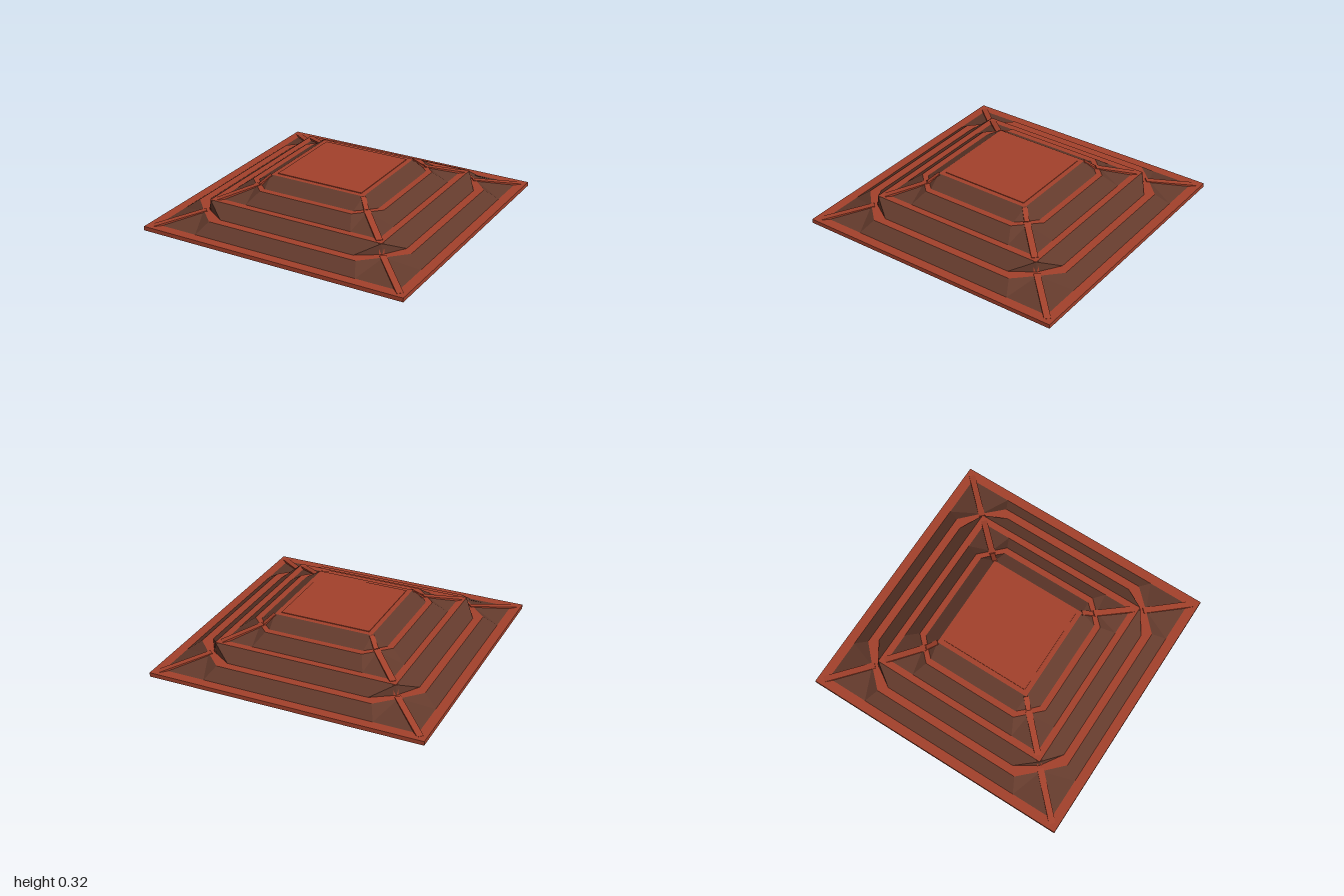
import * as THREE from 'three';
import { mergeGeometries } from 'three/addons/utils/BufferGeometryUtils.js';

const mat = (name, color) => {
  const m = new THREE.MeshStandardMaterial({ color });
  m.name = name;
  return m;
};

// Ring of 12 points: half width h, end of the straight edge s, corner point c
const square = (h, s, y) => ({ h, s, c: h, y });
const octagon = (h, s, c, y) => ({ h, s, c, y });
const grow = (r, d, y) => ({ h: r.h + d, s: r.s + d, c: r.c + d, y });

function ringPoints(r) {
  const pts = [];
  for (let q = 0; q < 4; q++) {
    const a = q * Math.PI / 2, cos = Math.round(Math.cos(a)), sin = Math.round(Math.sin(a));
    for (const [x, z] of [[r.h, r.s], [r.c, r.c], [r.s, r.h]]) {
      pts.push([x * cos - z * sin, r.y, x * sin + z * cos]);
    }
  }
  return pts;
}

// Faceted skin through a list of rings; listed upward it faces out, downward it faces in.
// The corner quads are split symmetrically about the diagonal.
function loft(...rings) {
  const pos = [];
  for (let k = 0; k < rings.length - 1; k++) {
    const a = ringPoints(rings[k]), b = ringPoints(rings[k + 1]);
    for (let i = 0; i < 12; i++) {
      const j = (i + 1) % 12;
      if (i % 3 === 1) pos.push(...a[i], ...b[i], ...a[j], ...b[i], ...b[j], ...a[j]);
      else pos.push(...a[i], ...b[i], ...b[j], ...a[i], ...b[j], ...a[j]);
    }
  }
  const g = new THREE.BufferGeometry();
  g.setAttribute('position', new THREE.Float32BufferAttribute(pos, 3));
  g.computeVertexNormals();
  return g;
}

// Rectangular frame that follows a ring
const frame = (r, d0, d1, y0, y1) =>
  loft(grow(r, d1, y0), grow(r, d1, y1), grow(r, d0, y1), grow(r, d0, y0), grow(r, d1, y0));

// Straight bar between two points
function bar(a, b, width, height) {
  const o = new THREE.Object3D();
  o.position.copy(a).lerp(b, 0.5);
  o.lookAt(b);
  o.updateMatrix();
  return new THREE.BoxGeometry(width, height, a.distanceTo(b)).applyMatrix4(o.matrix);
}

const fourTimes = (list) => mergeGeometries([0, 1, 2, 3].flatMap((q) =>
  list.map((g) => g.clone().rotateY(q * Math.PI / 2))));

// Point on the +x side of a ring, u from -1 (corner) to 1 (corner)
function edgePoint(r, u, drop) {
  const k = 0.7, t = Math.abs(u), f = Math.max(0, (t - k) / (1 - k));
  const z = t < k ? r.s * t / k : r.s + (r.c - r.s) * f;
  return new THREE.Vector3(r.h + (r.c - r.h) * f, r.y - drop, z * Math.sign(u));
}

export function createModel() {
  const model = new THREE.Group();
  model.name = 'steppedRoof';
  const red = mat('red trim', 0xa3412b);
  const brown = mat('brown roof', 0x633a2c);
  const grey = mat('grey beams', 0xa2a397);
  const dark = mat('dark boarding', 0x4a302a);
  const rust = mat('rust rafters', 0x984030);
  const teal = mat('teal battens', 0x4f8c80);
  const gold = mat('gold trim', 0xd08a45);
  const black = mat('black ornament', 0x1e1f22);
  const plate = mat('ceiling panel', 0xb4a68c);
  const bronze = mat('bronze medallion', 0xb8945c);

  const add = (name, geometry, material) => {
    const mesh = new THREE.Mesh(geometry, material);
    mesh.name = name;
    model.add(mesh);
    return mesh;
  };

  // Outer skin: slopes alternate with flat ledges
  const eave = square(0.93, 0.62, 0.03);
  const ledge1 = [octagon(0.835, 0.57, 0.705, 0.1), octagon(0.775, 0.52, 0.675, 0.1)];
  const ledge2 = [square(0.67, 0.62, 0.175), square(0.62, 0.41, 0.175)];
  const ledge3 = [octagon(0.52, 0.36, 0.44, 0.25), octagon(0.475, 0.35, 0.415, 0.25)];
  const crown = square(0.365, 0.3, 0.315);
  add('eaveRim', loft(square(1, 0.62, 0), square(1, 0.62, 0.03), eave), red);
  [[eave, ledge1[0]], [ledge1[1], ledge2[0]], [ledge2[1], ledge3[0]], [ledge3[1], crown]]
    .forEach((pair, i) => add('roofSlope' + (i + 1), loft(...pair), brown));
  [ledge1, ledge2, ledge3].forEach((pair, i) => add('ledge' + (i + 1), loft(...pair), red));
  const lip = square(0.33, 0.3, 0.315);
  add('crownTop', loft(crown, lip, { ...lip, y: 0.32 }, square(0, 0, 0.32)), red);

  // Hip ridges and corner posts on the four diagonals
  const diag = (d, y) => new THREE.Vector3(d, y, d);
  add('hipRidges', fourTimes([
    bar(diag(0.955, 0.022), diag(0.69, 0.097), 0.045, 0.02),
    bar(diag(0.635, 0.169), diag(0.425, 0.247), 0.045, 0.02),
    bar(diag(0.42, 0.25), diag(0.362, 0.31), 0.035, 0.016),
  ]), red);
  add('cornerPosts', fourTimes([bar(diag(0.664, 0.098), diag(0.655, 0.172), 0.035, 0.03)]), red);

  // Underside skin, slightly below the outer one
  const low = (r, y) => grow(r, -0.01, y);
  const inner = [
    square(0.93, 0.62, 0.012),
    low(ledge1[0], 0.08), low(ledge1[1], 0.08),
    low(ledge2[0], 0.155), low(ledge2[1], 0.155),
    low(ledge3[0], 0.23), low(ledge3[1], 0.23),
    low(crown, 0.3),
  ];
  add('eaveSoffit', loft(inner[0], square(0.93, 0.62, 0), square(1, 0.62, 0)), grey);
  add('ceilingPanel', loft(square(0, 0, 0.3), inner[7]), plate);
  for (let i = 0; i < 4; i++) {
    const a = inner[2 * i], b = inner[2 * i + 1];
    add('soffitBoarding' + (i + 1), loft(b, a), dark);
    // Rafters with battens between them, fanning out at the corners
    const n = [22, 19, 15, 12][i], rafters = [], battens = [];
    for (let k = 0; k < n; k++) {
      const u = -0.96 + 1.92 * k / (n - 1), v = u + 0.96 / (n - 1);
      rafters.push(bar(edgePoint(a, u, 0.004), edgePoint(b, u, 0.004), 0.034, 0.012));
      if (k < n - 1) battens.push(bar(edgePoint(a, v, 0.003), edgePoint(b, v, 0.003), 0.017, 0.011));
    }
    add('rafters' + (i + 1), fourTimes(rafters), rust);
    add('battens' + (i + 1), fourTimes(battens), teal);
  }

  // Ring beams under each ledge, edged in gold
  for (let i = 1; i < 7; i += 2) {
    const r = inner[i + 1], w = inner[i].h - r.h, y = r.y;
    add('ringBeam', frame(r, -0.002, w + 0.002, y - 0.01, y + 0.003), grey);
    add('ringBeamTrim', frame(r, -0.009, -0.002, y - 0.008, y + 0.004), gold);
  }
  add('eaveTrim', frame(inner[0], -0.01, 0, 0.003, 0.014), gold);
  add('panelTrim', frame(inner[7], -0.012, 0, 0.288, 0.3), gold);

  // Grey hip beams below, and braces across the cut corners
  add('hipBeams', fourTimes([
    bar(diag(0.92, 0.009), diag(0.68, 0.074), 0.05, 0.02),
    bar(diag(0.645, 0.076), diag(0.64, 0.15), 0.035, 0.03),
    bar(diag(0.61, 0.152), diag(0.42, 0.226), 0.05, 0.024),
    bar(diag(0.395, 0.226), diag(0.35, 0.292), 0.035, 0.024),
  ]), grey);
  const brace = (p, q, y, w) =>
    bar(new THREE.Vector3(p, y, q), new THREE.Vector3(q, y, p), w, 0.012);
  add('cornerBraces', fourTimes([
    brace(0.77, 0.55, 0.07, 0.075),
    brace(0.475, 0.345, 0.22, 0.06),
  ]), grey);

  // Ceiling medallion and small dark studs
  [['medallionRing', 0.185, 0.004, black], ['medallionDisc', 0.135, 0.007, bronze],
    ['medallionBand', 0.085, 0.009, rust], ['medallionInset', 0.075, 0.011, bronze],
    ['medallionHeart', 0.03, 0.013, teal]]
    .forEach(([name, r, t, m]) => {
      add(name, new THREE.CylinderGeometry(r, r, t, 32), m).position.y = 0.3 - t / 2;
    });
  const studs = [[0.26, 0.26], [0.27, 0.2], [0.2, 0.27]].map(([x, z]) =>
    new THREE.CylinderGeometry(0.016, 0.016, 0.006, 10).translate(x, 0.297, z));
  add('ceilingStuds', fourTimes(studs), black);

  return model;
}
